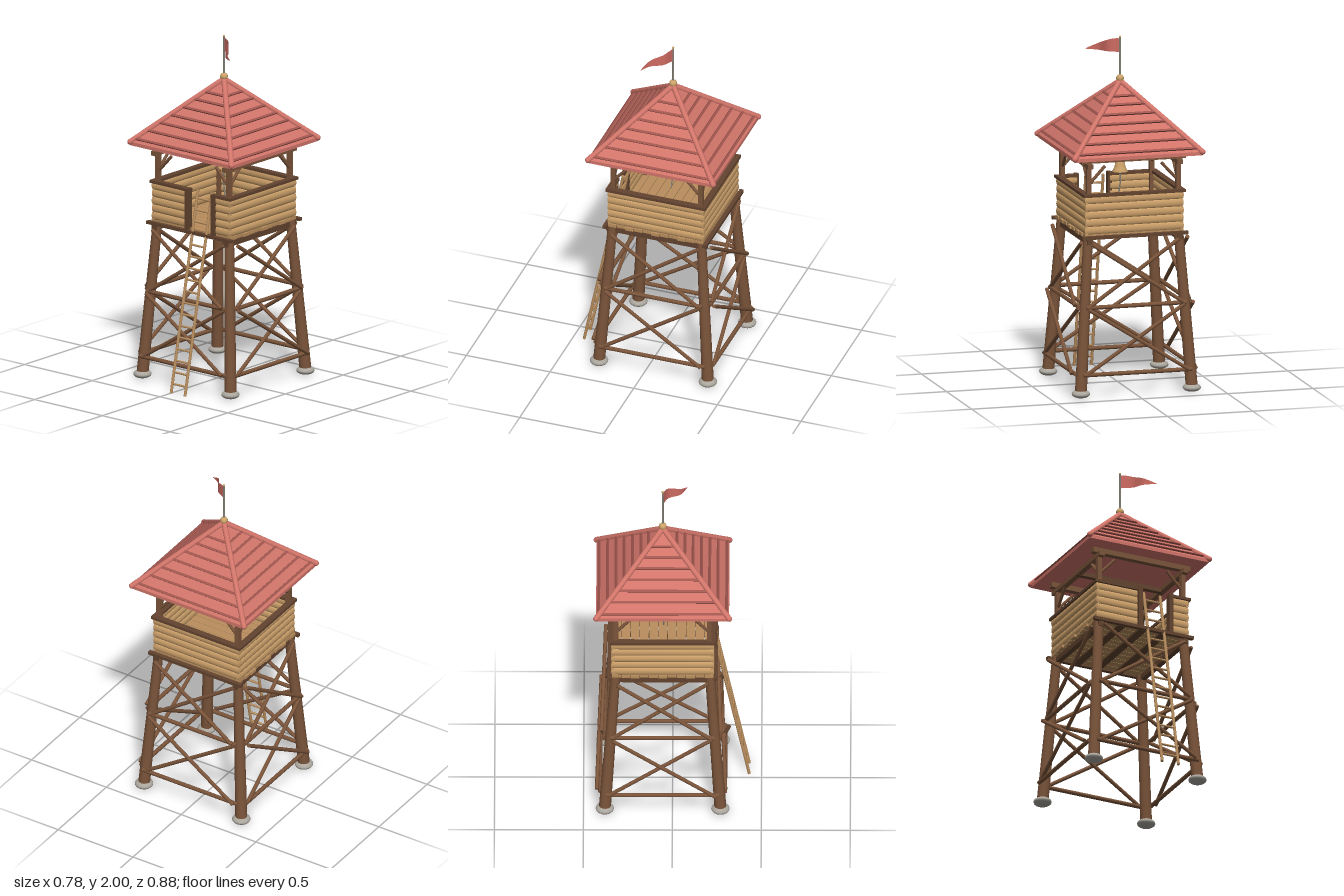
import * as THREE from 'three';

const mat = (name, color, side = THREE.FrontSide) => {
  const m = new THREE.MeshStandardMaterial({ color, side });
  m.name = name;
  return m;
};
const V = (x, y, z) => new THREE.Vector3(x, y, z);

export function createModel() {
  const timber = mat('timber', 0x7a543a);
  const darkTimber = mat('dark timber', 0x62432f);
  const plank = mat('plank', 0xcb9f69);
  const ladderWood = mat('ladder wood', 0xb98e5e);
  const roofRed = mat('roof red', 0xd2756a);
  const battenRed = mat('batten red', 0xa0564e);
  const stone = mat('stone', 0xaaa69d);
  const brass = mat('brass', 0xcda469);
  const iron = mat('iron', 0x87837a);
  const flagRed = mat('flag red', 0xcf6c62, THREE.DoubleSide);

  const model = new THREE.Group();
  model.name = 'watchtower';
  // The tower stands slightly behind the origin, the ladder reaches forward
  const tower = new THREE.Group();
  tower.name = 'tower';
  tower.position.z = -0.055;
  model.add(tower);

  const add = (name, geo, material, parent = tower) => {
    const m = new THREE.Mesh(geo, material);
    m.name = name;
    parent.add(m);
    return m;
  };
  const box = (name, w, h, d, x, y, z, material, parent) => {
    const m = add(name, new THREE.BoxGeometry(w, h, d), material, parent);
    m.position.set(x, y, z);
    return m;
  };
  // Round pole between two points
  const pole = (name, a, b, r0, r1, material, parent, sides = 10) => {
    const m = add(name, new THREE.CylinderGeometry(r1, r0, a.distanceTo(b), sides), material, parent);
    m.position.copy(a).add(b).multiplyScalar(0.5);
    m.quaternion.setFromUnitVectors(V(0, 1, 0), b.clone().sub(a).normalize());
    return m;
  };
  const ball = (name, r, x, y, z, material, parent) => {
    const m = add(name, new THREE.SphereGeometry(r, 16, 12), material, parent);
    m.position.set(x, y, z);
    return m;
  };
  const corners = [[1, 1], [1, -1], [-1, -1], [-1, 1]];
  const sideGroup = (name, i) => {
    const g = new THREE.Group();
    g.name = name;
    g.rotation.y = (i * Math.PI) / 2;
    tower.add(g);
    return g;
  };

  // Splayed legs on flat stones
  const legAt = (y) => 0.327 - 0.068 * y;
  for (const [sx, sz] of corners) {
    const a = legAt(0.02), b = legAt(0.91);
    pole('leg', V(sx * a, 0.02, sz * a), V(sx * b, 0.91, sz * b), 0.034, 0.027, timber, tower, 14);
    ball('footStone', 0.052, sx * 0.325, 0.028, sz * 0.325, stone).scale.y = 0.46;
  }

  // Rails and crossed braces on each side
  for (let i = 0; i < 4; i++) {
    const g = sideGroup('legBracing', i);
    for (const y of [0.138, 0.518]) {
      const h = legAt(y);
      pole('rail', V(-h, y, h + 0.033), V(h, y, h + 0.033), 0.012, 0.012, timber, g);
    }
    for (const [y0, y1] of [[0.14, 0.51], [0.525, 0.88]]) {
      const a = legAt(y0), b = legAt(y1);
      pole('brace', V(a - 0.02, y0, a + 0.053), V(-b + 0.01, y1, b + 0.053), 0.011, 0.011, timber, g);
      pole('brace', V(-a + 0.02, y0, a + 0.035), V(b - 0.01, y1, b + 0.035), 0.011, 0.011, timber, g);
    }
  }

  // Joists and floor boards
  for (const x of [-0.265, 0.265]) box('sideBeam', 0.03, 0.03, 0.6, x, 0.888, 0, darkTimber);
  for (const x of [-0.13, 0, 0.13]) box('joist', 0.045, 0.012, 0.58, x, 0.909, 0, darkTimber);
  for (const z of [-0.298, 0.298]) box('floorBeam', 0.62, 0.018, 0.024, 0, 0.913, z, darkTimber);
  for (let i = 0; i < 11; i++)
    box('floorBoard', 0.575 + 0.012 * (i % 3), 0.018, 0.049, 0, 0.922, -0.26 + i * 0.052, ladderWood);

  // Walls of rounded boards with a cap rail; the front has a gateway
  const wall = (g, x0, x1) => {
    for (let k = 0; k < 5; k++) {
      const board = new THREE.CylinderGeometry(0.0235, 0.0235, x1 - x0 - 0.004 * (k % 2), 16);
      board.rotateZ(Math.PI / 2).scale(1, 1, 0.5);
      add('wallBoard', board, plank, g).position.set((x0 + x1) / 2, 0.952 + k * 0.0437, 0.278);
    }
    box('capRail', x1 - x0 + 0.02, 0.016, 0.036, (x0 + x1) / 2, 1.152, 0.28, darkTimber, g);
  };
  for (let i = 0; i < 4; i++) {
    const g = sideGroup('wall', i);
    if (i > 0) wall(g, -0.287, 0.287);
    else {
      wall(g, -0.287, -0.02);
      wall(g, 0.172, 0.287);
      for (const x of [-0.02, 0.172]) box('gatePost', 0.024, 0.25, 0.036, x, 1.037, 0.287, darkTimber, g);
    }
  }

  // Roof posts, plates and knee braces
  for (const [sx, sz] of corners) {
    box('roofPost', 0.027, 0.45, 0.027, sx * 0.262, 1.145, sz * 0.262, timber);
    pole('kneeBrace', V(sx * 0.258, 1.215, sz * 0.262), V(sx * 0.165, 1.315, sz * 0.262), 0.009, 0.009, timber);
    pole('kneeBrace', V(sx * 0.262, 1.215, sz * 0.258), V(sx * 0.262, 1.315, sz * 0.165), 0.009, 0.009, timber);
  }
  for (const s of [-1, 1]) {
    box('crossPlate', 0.61, 0.032, 0.032, 0, 1.351, s * 0.262, timber);
    box('sidePlate', 0.032, 0.026, 0.61, s * 0.262, 1.322, 0, timber);
  }
  box('bellBeam', 0.54, 0.026, 0.028, 0, 1.32, 0, darkTimber);

  // Bell with clapper and rope
  const bellProfile = [[0, 0.08], [0.018, 0.078], [0.026, 0.066], [0.029, 0.038], [0.035, 0.017], [0.045, 0], [0.038, 0], [0.022, 0.03], [0, 0.06]];
  add('bell', new THREE.LatheGeometry(bellProfile.map(([x, y]) => new THREE.Vector2(x, y)).reverse(), 24), brass).position.y = 1.222;
  pole('bellHanger', V(0, 1.295, 0), V(0, 1.315, 0), 0.008, 0.008, iron);
  ball('clapper', 0.01, 0, 1.216, 0, iron);
  const rope = new THREE.CatmullRomCurve3([V(0, 1.215, 0), V(-0.002, 1.17, 0), V(0.004, 1.11, 0.004), V(0.012, 1.06, 0.006)]);
  add('bellRope', new THREE.TubeGeometry(rope, 16, 0.004, 6), iron);

  // Pyramid roof: slab edge, slopes, battens and hip poles
  const H = 0.374, eave = 1.386, apex = 1.742;
  const rise = (apex - eave) / H;
  box('eaveSlab', H * 2, 0.02, H * 2, 0, eave - 0.01, 0, roofRed);
  const pyramid = new THREE.ConeGeometry(H * Math.SQRT2, apex - eave, 4, 1, true).toNonIndexed();
  pyramid.rotateY(Math.PI / 4);
  pyramid.computeVertexNormals();
  add('roofSlopes', pyramid, roofRed).position.y = (apex + eave) / 2;
  for (let i = 0; i < 4; i++) {
    const g = sideGroup('roofSide', i);
    for (const d of [0.356, 0.307, 0.26, 0.214, 0.167, 0.12, 0.077]) {
      const b = box('batten', 2 * d - 0.01, 0.012, 0.013, 0, apex - d * rise + 0.003, d + 0.003, battenRed, g);
      b.rotation.x = Math.atan(rise);
    }
  }
  for (const [sx, sz] of corners) {
    pole('hipPole', V(sx * H, eave, sz * H), V(0, apex, 0), 0.016, 0.016, roofRed, tower, 12);
    ball('hipEnd', 0.0165, sx * H, eave, sz * H, roofRed);
  }

  // Finial, flagpole and waving pennant
  ball('finial', 0.022, 0, 1.757, 0, brass);
  pole('flagpole', V(0, 1.76, 0), V(0, 1.992, 0), 0.006, 0.005, iron);
  ball('poleTip', 0.007, 0, 1.993, 0, brass);
  const path = new THREE.CatmullRomCurve3([V(0, 0, 0), V(0.06, 0, 0.032), V(0.098, 0, 0.1), V(0.165, 0, 0.14)]);
  const pennant = new THREE.PlaneGeometry(1, 1, 20, 4);
  const pos = pennant.attributes.position;
  for (let i = 0; i < pos.count; i++) {
    const u = pos.getX(i) + 0.5, v = pos.getY(i) + 0.5;
    const p = path.getPoint(u);
    const low = 1.904 + 0.004 * Math.sin(u * Math.PI * 2) * (1 - u) + 0.003 * u;
    pos.setXYZ(i, p.x, low + v * 0.08 * (1 - Math.pow(u, 1.7)), p.z);
  }
  pennant.computeVertexNormals();
  add('pennant', pennant, flagRed);

  // Leaning ladder
  const ladder = new THREE.Group();
  ladder.name = 'ladder';
  model.add(ladder);
  const ladderZ = (y) => 0.431 - 0.205 * (y - 0.015);
  for (const x of [0.024, 0.126])
    pole('ladderRail', V(x, 0.015, ladderZ(0.015)), V(x, 1.155, ladderZ(1.155)), 0.0085, 0.0085, ladderWood, ladder);
  for (let i = 0; i < 17; i++) {
    const y = 0.068 + i * 0.065;
    pole('rung', V(0.022, y, ladderZ(y)), V(0.128, y, ladderZ(y)), 0.0065, 0.0065, ladderWood, ladder, 8);
  }

  return model;
}
